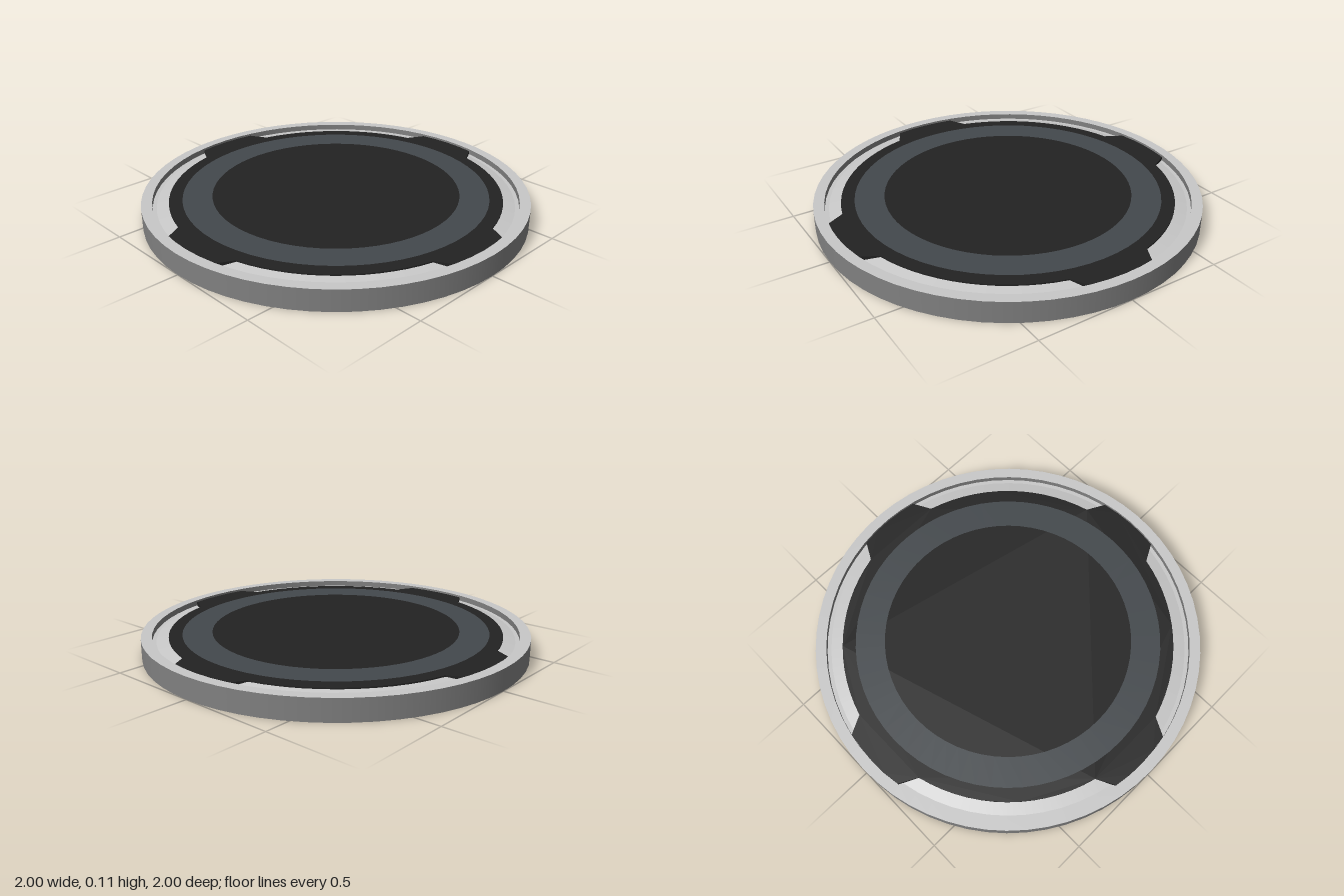
import * as THREE from 'three';

const SEGMENTS = 64;

export function createModel() {
  const material = (name, color) => {
    const m = new THREE.MeshStandardMaterial({ color });
    m.name = name;
    return m;
  };
  const silver = material('silver', 0xc8c8c8);
  const grey = material('grey', 0x808080);
  const black = material('black', 0x222222);
  const slate = material('slate', 0x43484c);

  const group = new THREE.Group();
  const add = (name, geometry, mat) => {
    const mesh = new THREE.Mesh(geometry, mat);
    mesh.name = name;
    group.add(mesh);
  };

  // A turned surface between two [radius, height] points, one per part so edges stay sharp
  const band = (name, from, to, mat) => add(name,
    new THREE.LatheGeometry([new THREE.Vector2(...from), new THREE.Vector2(...to)], SEGMENTS), mat);

  // Underside, rim and stepped seat
  band('basePad', [0, 0], [0.84, 0], black);
  band('baseRing', [0.84, 0], [1, 0], slate);
  band('outerWall', [1, 0], [1, 0.11], grey);
  band('rimTop', [1, 0.11], [0.945, 0.11], silver);
  band('innerWall', [0.945, 0.11], [0.945, 0.08], grey);
  band('groove', [0.945, 0.08], [0.925, 0.08], silver);
  band('slopedSeat', [0.925, 0.08], [0.84, 0.097], silver);

  // Face plate: a disc with four tapered tabs reaching the rim
  const points = [];
  const arc = (radius, start, end, steps) => {
    for (let i = 0; i <= steps; i++) {
      const a = start + (end - start) * i / steps;
      points.push(new THREE.Vector2(radius * Math.cos(a), radius * Math.sin(a)));
    }
  };
  const tabTip = 0.183, tabRoot = 0.26;
  for (let i = 0; i < 4; i++) {
    const a = i * Math.PI / 2;
    arc(0.944, a - tabTip, a + tabTip, 4);
    arc(0.863, a + tabRoot, a + Math.PI / 2 - tabRoot, 14);
  }
  const plate = new THREE.ExtrudeGeometry(new THREE.Shape(points), { depth: 0.03, bevelEnabled: false });
  plate.rotateX(-Math.PI / 2).translate(0, 0.069, 0);
  add('facePlate', plate, black);

  // Painted ring on the face
  band('faceRing', [0.795, 0.101], [0.643, 0.101], slate);

  return group;
}
